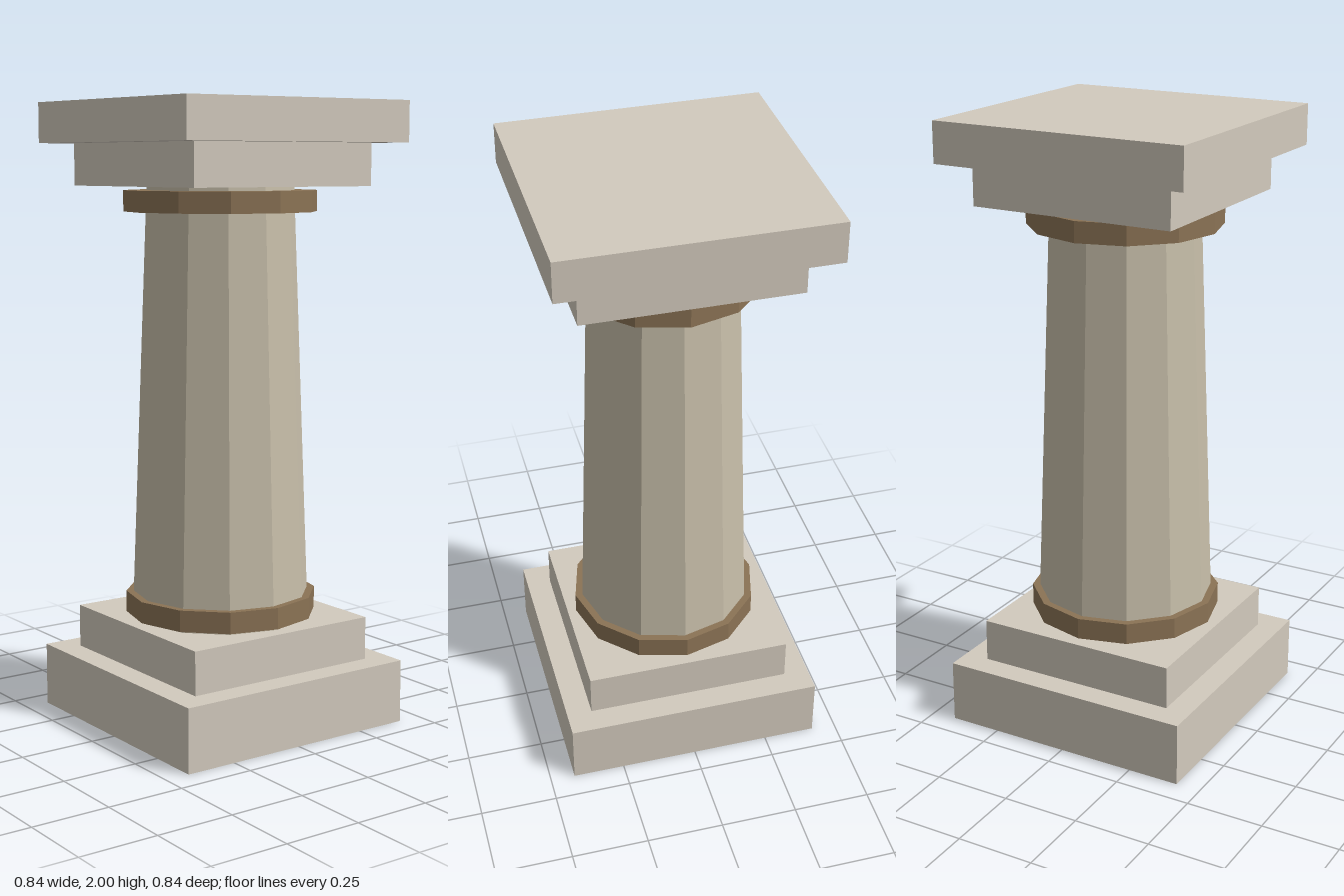
import * as THREE from 'three';

const stone = new THREE.MeshStandardMaterial({ color: 0xd2cabd, flatShading: true });
const shaftStone = new THREE.MeshStandardMaterial({ color: 0xc8bfaa, flatShading: true });
const bronze = new THREE.MeshStandardMaterial({ color: 0x8b7355, flatShading: true });

export function createModel() {
  const group = new THREE.Group();

  const add = (name, geometry, material, y0, y1) => {
    const mesh = new THREE.Mesh(geometry, material);
    mesh.name = name;
    mesh.position.y = (y0 + y1) / 2;
    group.add(mesh);
  };
  const slab = (name, width, y0, y1) =>
    add(name, new THREE.BoxGeometry(width, y1 - y0, width), stone, y0, y1);
  const drum = (name, rTop, rBottom, y0, y1, material) =>
    add(name, new THREE.CylinderGeometry(rTop, rBottom, y1 - y0, 12), material, y0, y1);

  // Stepped base
  slab('plinth', 0.84, 0, 0.205);
  slab('baseStep', 0.675, 0.205, 0.345);

  // Tapered twelve-sided shaft with a band at each end
  drum('shaft', 0.236, 0.289, 0.345, 1.735, shaftStone);
  drum('lowerBand', 0.31, 0.31, 0.353, 0.422, bronze);
  drum('upperBand', 0.31, 0.31, 1.655, 1.722, bronze);

  // Stepped capital
  slab('capitalStep', 0.675, 1.735, 1.87);
  slab('abacus', 0.84, 1.87, 2);

  return group;
}
